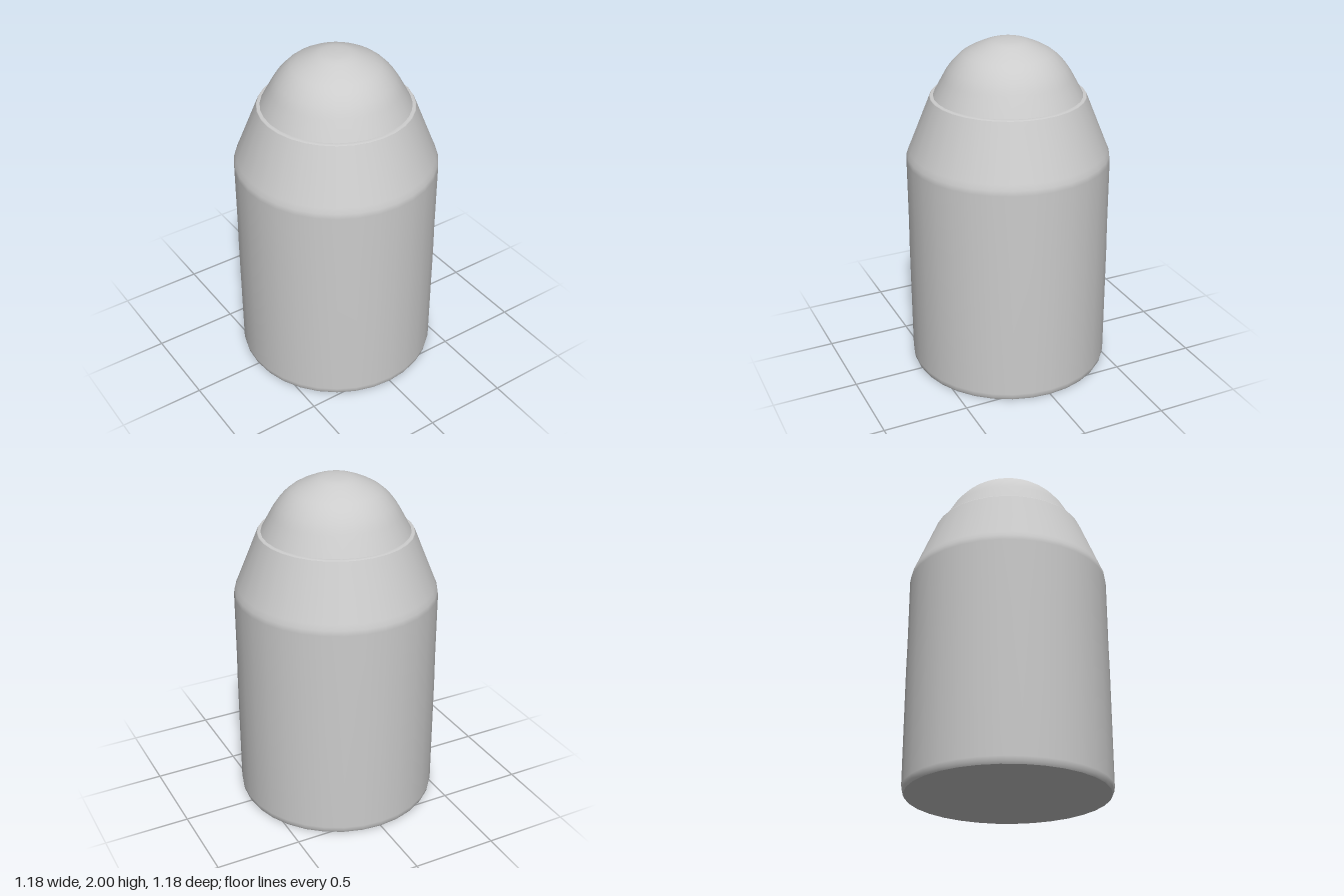
import * as THREE from 'three';

const SIDES = 32;

export function createModel() {
  const group = new THREE.Group();
  const material = new THREE.MeshStandardMaterial({ color: 0xcccccc });

  // Revolves a profile (listed from bottom to top) around the y axis
  const addLathe = (name, profile) => {
    const points = profile.map(([r, y]) => new THREE.Vector2(r, y));
    const mesh = new THREE.Mesh(new THREE.LatheGeometry(points, SIDES), material);
    mesh.name = name;
    group.add(mesh);
  };

  // Flat underside
  addLathe('base', [[0, 0], [0.58, 0]]);

  // Straight casing with a small bevel at the foot and a tapered shoulder
  addLathe('casing', [
    [0.58, 0], [0.588, 0.015], [0.592, 0.04], [0.592, 0.73], [0.59, 0.9], [0.59, 1.3],
    [0.586, 1.33], [0.573, 1.36], [0.46, 1.64], [0.447, 1.672],
  ]);

  // Narrow lip around the shoulder's mouth
  addLathe('rim', [[0.447, 1.672], [0.443, 1.677], [0.425, 1.677]]);

  // Rounded nose, straight-sided at the bottom and domed on top
  const nose = new THREE.SplineCurve([
    [0.43, 1.67], [0.385, 1.755], [0.334, 1.84], [0.254, 1.92],
    [0.13, 1.981], [0.06, 1.997], [0, 2],
  ].map(([r, y]) => new THREE.Vector2(r, y)));
  addLathe('nose', nose.getPoints(18).map((p) => [Math.max(p.x, 0), Math.min(p.y, 2)]));

  return group;
}
